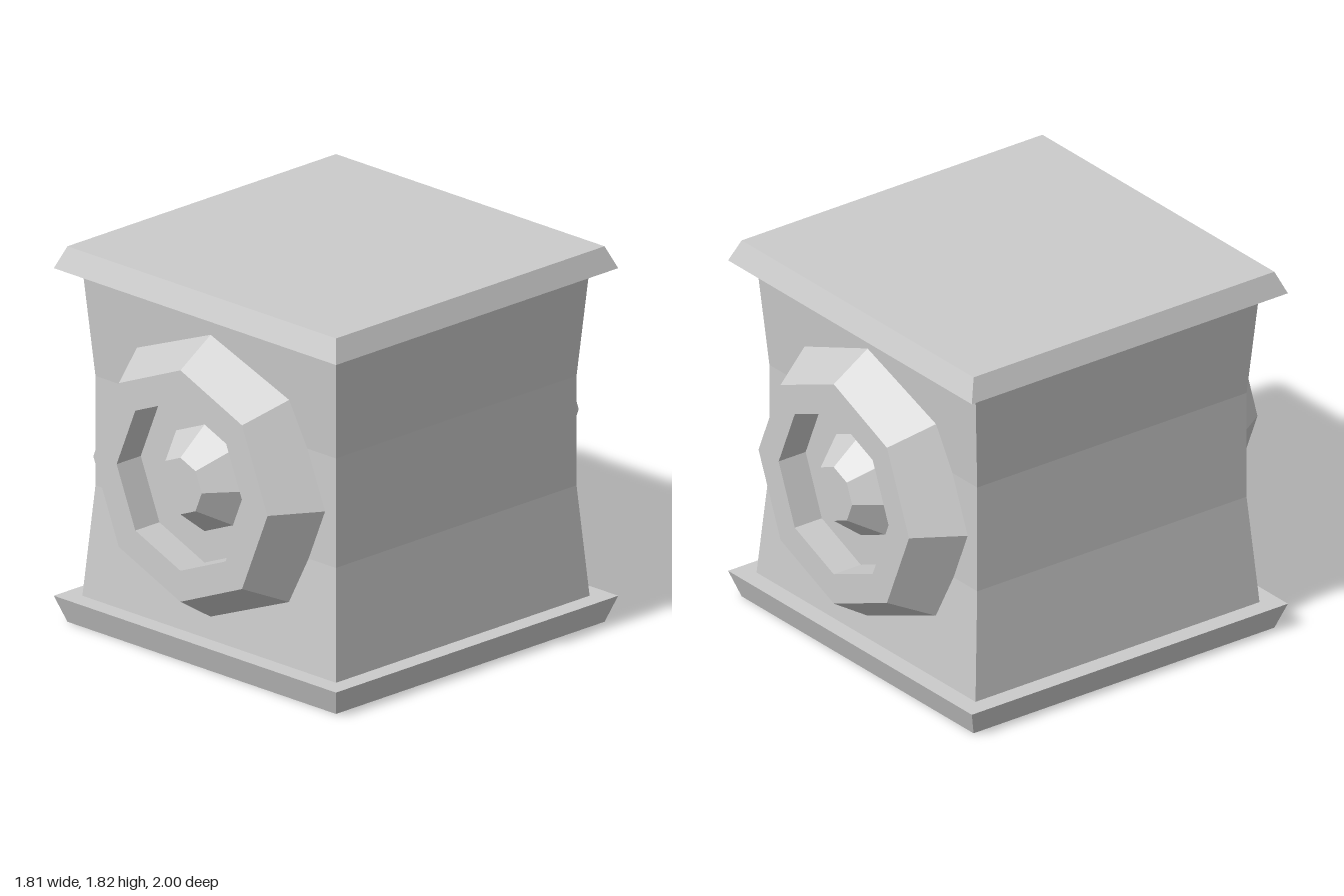
import * as THREE from 'three';

const material = new THREE.MeshStandardMaterial({ color: 0xcccccc, flatShading: true });

// Square block whose half-width follows a list of [y, halfWidth] levels
function squareProfile(name, levels) {
  const geometry = new THREE.BoxGeometry(2, 1, 2, 1, levels.length - 1, 1);
  const p = geometry.attributes.position;
  for (let i = 0; i < p.count; i++) {
    const [y, half] = levels[Math.round((p.getY(i) + 0.5) * (levels.length - 1))];
    p.setXYZ(i, Math.sign(p.getX(i)) * half, y, Math.sign(p.getZ(i)) * half);
  }
  geometry.computeVertexNormals();
  const mesh = new THREE.Mesh(geometry, material);
  mesh.name = name;
  return mesh;
}

// Eight-sided round boss: sloped rim, straight-walled recess, raised centre
function roundBoss(name, angle) {
  const profile = [
    [0.717, 0.75], [0.56, 1], [0.41, 1], [0.41, 0.845],
    [0.258, 0.845], [0.137, 1], [0, 1],
  ].map(([r, z]) => new THREE.Vector2(r, z));
  const geometry = new THREE.LatheGeometry(profile, 8);
  geometry.rotateX(Math.PI / 2);
  const mesh = new THREE.Mesh(geometry, material);
  mesh.name = name;
  mesh.position.y = 0.915;
  mesh.rotation.y = angle;
  return mesh;
}

export function createModel() {
  const model = new THREE.Group();
  model.name = 'block';
  model.add(
    // Plates at the ends, widest where they meet the body
    squareProfile('basePlate', [[0, 0.863], [0.126, 0.907]]),
    squareProfile('topPlate', [[1.711, 0.907], [1.817, 0.863]]),
    // Slightly waisted body
    squareProfile('body', [[0.126, 0.815], [0.66, 0.773], [1.19, 0.773], [1.711, 0.815]]),
    // Bosses on front and back
    roundBoss('frontBoss', 0),
    roundBoss('backBoss', Math.PI),
  );
  return model;
}
